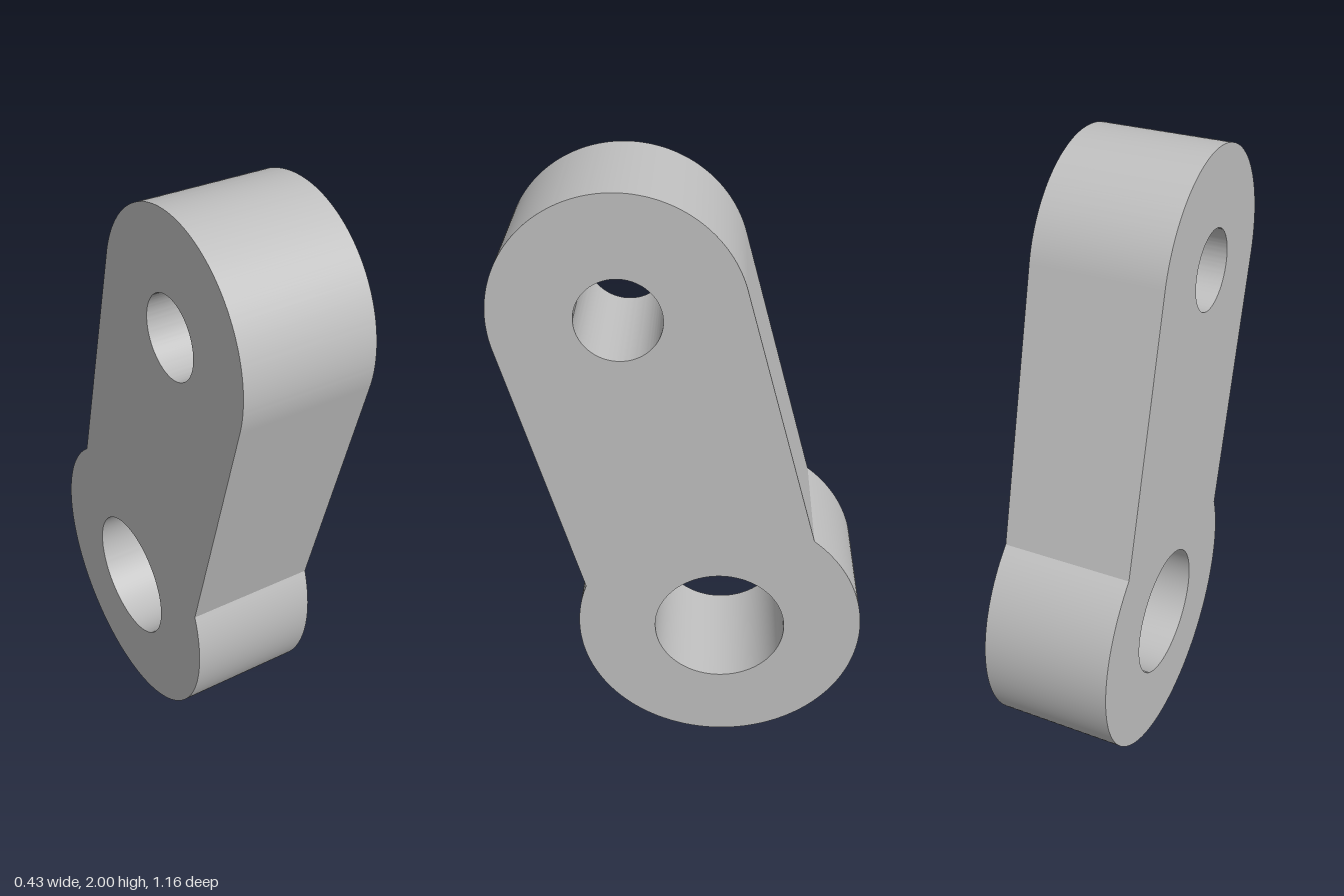
import * as THREE from 'three';
import { toCreasedNormals } from 'three/addons/utils/BufferGeometryUtils.js';

// Side profile: profile x becomes world z
const THICKNESS = 0.43;
const TOP = { z: 0.198, y: 1.615, r: 0.385, hole: 0.131 };
const BOTTOM = { z: -0.109, y: 0.473, r: 0.473, hole: 0.217 };

function addHole(shape, end) {
  const hole = new THREE.Path();
  hole.absarc(end.z, end.y, end.hole, 0, Math.PI * 2, true);
  shape.holes.push(hole);
}

export function createModel() {
  const metal = new THREE.MeshStandardMaterial({ color: 0xbfbfbf });
  metal.name = 'light grey';

  // Straight flanks are tangent to the top end and cut into the larger bottom end
  const tilt = -Math.atan2(TOP.z - BOTTOM.z, TOP.y - BOTTOM.y);
  const meet = Math.acos(TOP.r / BOTTOM.r);

  const outline = new THREE.Shape();
  outline.absarc(TOP.z, TOP.y, TOP.r, tilt, tilt + Math.PI, false);
  outline.absarc(BOTTOM.z, BOTTOM.y, BOTTOM.r, tilt + Math.PI - meet, tilt + Math.PI * 2 + meet, false);
  outline.closePath();
  addHole(outline, TOP);
  addHole(outline, BOTTOM);

  // Extrude across the width, smooth the curved walls, keep the rims sharp
  let geometry = new THREE.ExtrudeGeometry(outline, {
    depth: THICKNESS, bevelEnabled: false, curveSegments: 64,
  });
  geometry.translate(0, 0, -THICKNESS / 2);
  geometry.rotateY(-Math.PI / 2);
  geometry = toCreasedNormals(geometry, Math.PI / 6);

  const link = new THREE.Mesh(geometry, metal);
  link.name = 'linkArm';

  const model = new THREE.Group();
  model.name = 'link';
  model.add(link);
  return model;
}
